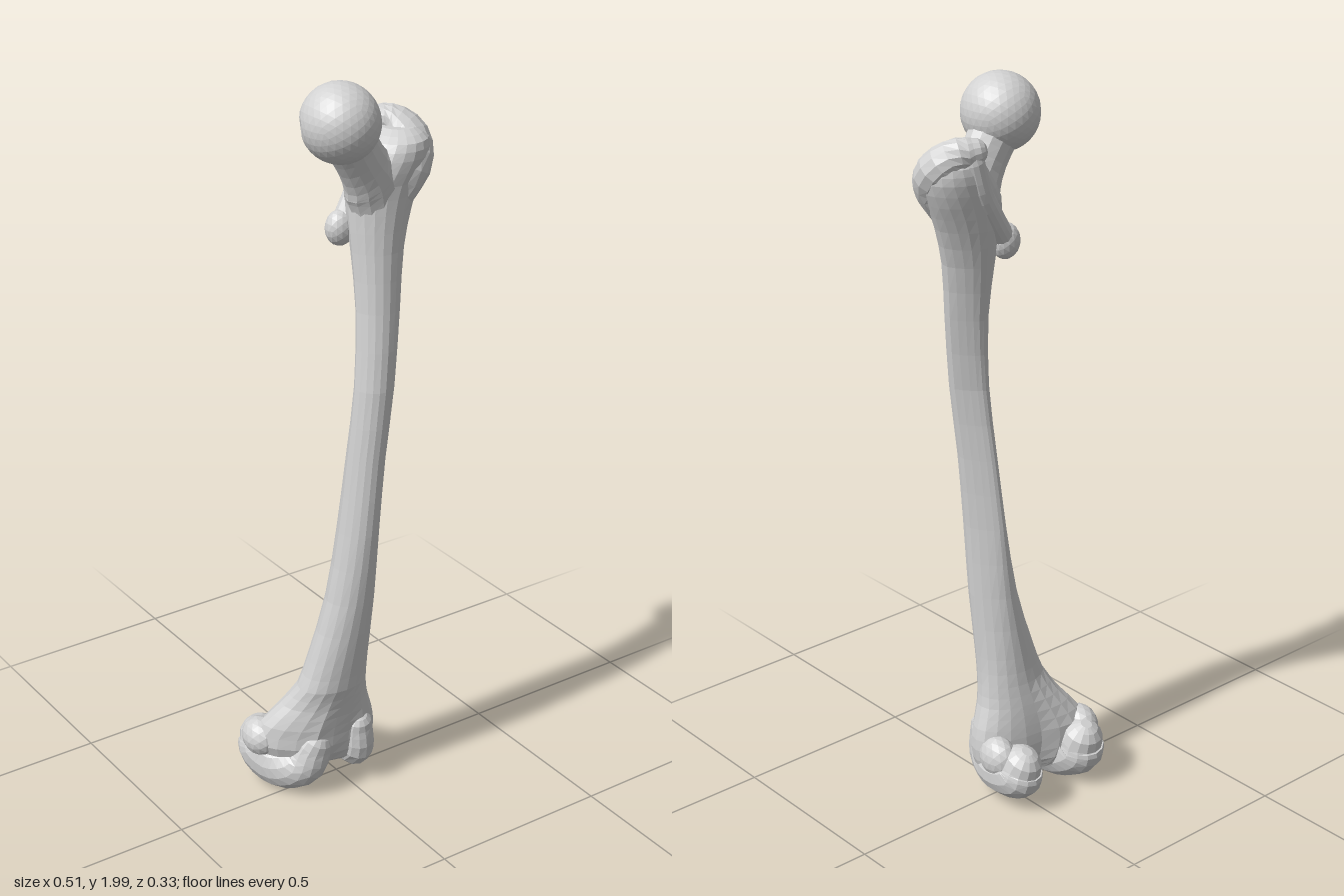
import * as THREE from 'three';
import { mergeVertices } from 'three/addons/utils/BufferGeometryUtils.js';

const bone = new THREE.MeshStandardMaterial({ color: 0xd2d2d2, flatShading: true });
bone.name = 'bone';

// Skin a list of rings (arrays of Vector3) and close both ends with a fan
function skin(rings) {
  const n = rings[0].length, pos = [], idx = [];
  rings.forEach(r => r.forEach(p => pos.push(p.x, p.y, p.z)));
  for (let i = 0; i < rings.length - 1; i++) {
    for (let j = 0; j < n; j++) {
      const k = (j + 1) % n;
      const a = i * n + j, b = i * n + k, c = (i + 1) * n + k, d = (i + 1) * n + j;
      idx.push(a, b, c, a, c, d);
    }
  }
  const middle = r => r.reduce((s, p) => s.add(p), new THREE.Vector3()).divideScalar(n);
  const last = rings.length - 1, m0 = middle(rings[0]), m1 = middle(rings[last]);
  const c0 = pos.length / 3;
  pos.push(m0.x, m0.y, m0.z, m1.x, m1.y, m1.z);
  for (let j = 0; j < n; j++) {
    const k = (j + 1) % n;
    idx.push(c0, k, j, c0 + 1, last * n + j, last * n + k);
  }
  const g = new THREE.BufferGeometry();
  g.setAttribute('position', new THREE.Float32BufferAttribute(pos, 3));
  g.setIndex(idx);
  g.computeVertexNormals();
  return g;
}

// Tapered limb with domed ends; each stop is [x, y, z, radiusU, radiusV]
function limb(stops, side, steps = 10, n = 14) {
  const path = new THREE.CatmullRomCurve3(stops.map(s => new THREE.Vector3(s[0], s[1], s[2])));
  const size = new THREE.CatmullRomCurve3(stops.map((s, i) => new THREE.Vector3(s[3], s[4], i * 0.05)));
  const rings = [];
  const addRing = (t, shift, scale) => {
    const c = path.getPoint(t), dir = path.getTangent(t), r = size.getPoint(t);
    const u = new THREE.Vector3().crossVectors(side, dir).normalize();
    const v = new THREE.Vector3().crossVectors(dir, u);
    c.addScaledVector(dir, shift * Math.min(r.x, r.y));
    rings.push(Array.from({ length: n }, (_, j) => {
      const a = j / n * Math.PI * 2;
      return c.clone().addScaledVector(u, Math.cos(a) * r.x * scale).addScaledVector(v, Math.sin(a) * r.y * scale);
    }));
  };
  const dome = [1.3, 0.95, 0.5];
  dome.forEach(f => addRing(0, -Math.sin(f), Math.cos(f)));
  for (let i = 0; i <= steps; i++) addRing(i / steps, 0, 1);
  dome.slice().reverse().forEach(f => addRing(1, Math.sin(f), Math.cos(f)));
  return skin(rings);
}

// Faceted ellipsoid
function knob(x, y, z, rx, ry, rz, detail = 3) {
  return mergeVertices(new THREE.IcosahedronGeometry(1, detail).deleteAttribute('normal').deleteAttribute('uv'))
    .scale(rx, ry, rz).translate(x, y, z);
}

// Shaft sections: y, right x, left x, back z, front z, pinch of the back ridge
const sections = [
  [0.07, -0.16, 0.06, -0.04, 0.05, 0],
  [0.10, -0.205, 0.09, -0.06, 0.088, 0],
  [0.16, -0.235, 0.10, -0.065, 0.104, 0],
  [0.22, -0.215, 0.09, -0.06, 0.106, 0],
  [0.28, -0.17, 0.07, -0.05, 0.106, 0],
  [0.34, -0.14, 0.062, -0.038, 0.108, 0],
  [0.42, -0.115, 0.06, -0.028, 0.115, 0.1],
  [0.60, -0.07, 0.065, -0.01, 0.13, 0.3],
  [0.80, -0.04, 0.07, 0.0, 0.14, 0.45],
  [1.00, -0.018, 0.085, 0.012, 0.14, 0.5],
  [1.20, 0.002, 0.11, 0.02, 0.14, 0.5],
  [1.40, 0.02, 0.14, 0.0, 0.12, 0.4],
  [1.55, 0.022, 0.165, -0.03, 0.105, 0.25],
  [1.65, 0.02, 0.197, -0.05, 0.10, 0.1],
  [1.72, 0.025, 0.228, -0.06, 0.10, 0],
  [1.78, 0.06, 0.25, -0.065, 0.108, 0],
  [1.82, 0.09, 0.245, -0.06, 0.10, 0],
  [1.845, 0.13, 0.22, -0.035, 0.06, 0],
];

function shaftGeometry(n = 20) {
  const a = new THREE.CatmullRomCurve3(sections.map(s => new THREE.Vector3(s[1], s[0], s[2])));
  const b = new THREE.CatmullRomCurve3(sections.map(s => new THREE.Vector3(s[3], s[0], s[4])));
  const rings = [], count = (sections.length - 1) * 2;
  for (let i = 0; i <= count; i++) {
    const p = a.getPoint(i / count), q = b.getPoint(i / count);
    const pinch = (sections[Math.floor(i / 2)][5] + sections[Math.ceil(i / 2)][5]) / 2;
    const low = THREE.MathUtils.clamp((0.34 - p.y) / 0.15, 0, 1);
    const cx = (p.x + p.z) / 2, hx = (p.z - p.x) / 2, cz = (q.x + q.z) / 2, hz = (q.z - q.x) / 2;
    rings.push(Array.from({ length: n }, (_, j) => {
      const t = j / n * Math.PI * 2, c = Math.cos(t), s = Math.sin(t);
      const x = cx + hx * s * (1 - pinch * Math.max(0, -c));
      let z = cz + hz * c;
      // knee end: inner side swept back, groove between the condyles
      z += low * 0.07 * Math.min(0, s);
      if (c > 0) z -= low * 0.03 * Math.exp(-(((x + 0.045) / 0.04) ** 2));
      return new THREE.Vector3(x, p.y, z);
    }));
  }
  return skin(rings);
}

// Ball of the hip joint with a small pit on its inner side
function headGeometry() {
  const g = knob(0, 0, 0, 1, 1, 1, 5), p = g.attributes.position, v = new THREE.Vector3();
  const pit = new THREE.Vector3(-0.85, -0.1, -0.5).normalize();
  for (let i = 0; i < p.count; i++) {
    v.fromBufferAttribute(p, i);
    v.multiplyScalar(1 - 0.13 * Math.exp(-((v.angleTo(pit) / 0.17) ** 2)));
    p.setXYZ(i, v.x, v.y, v.z);
  }
  return g.scale(0.098, 0.1, 0.103).translate(-0.034, 1.9, 0.067);
}

export function createModel() {
  const group = new THREE.Group();
  group.name = 'thighBone';
  const add = (name, geometry) => {
    geometry.computeVertexNormals();
    const mesh = new THREE.Mesh(geometry, bone);
    mesh.name = name;
    group.add(mesh);
  };
  const X = new THREE.Vector3(1, 0, 0), Z = new THREE.Vector3(0, 0, 1);

  add('shaft', shaftGeometry());

  // Hip end
  add('head', headGeometry());
  add('neck', limb([
    [-0.02, 1.875, 0.062, 0.066, 0.066], [0.04, 1.785, 0.052, 0.066, 0.055],
    [0.085, 1.72, 0.04, 0.085, 0.06], [0.1, 1.64, 0.035, 0.07, 0.055]], Z));
  add('greaterTrochanter', limb([
    [0.145, 1.852, -0.04, 0.035, 0.035], [0.178, 1.845, -0.02, 0.044, 0.045],
    [0.2, 1.81, 0.015, 0.053, 0.06], [0.185, 1.76, 0.05, 0.055, 0.06],
    [0.15, 1.69, 0.045, 0.05, 0.05]], X));
  add('trochanterCrest', limb([
    [0.15, 1.83, -0.042, 0.03, 0.032], [0.125, 1.75, -0.04, 0.03, 0.032],
    [0.075, 1.67, -0.03, 0.03, 0.03], [0.03, 1.61, -0.015, 0.03, 0.03]], Z));
  add('lesserTrochanter', knob(0.022, 1.6, -0.015, 0.04, 0.047, 0.035, 2));

  // Knee end: rollers running from the front lip under and up the back
  add('innerCondyle', limb([
    [-0.105, 0.16, 0.05, 0.045, 0.05], [-0.125, 0.1, 0.03, 0.06, 0.06],
    [-0.16, 0.083, -0.03, 0.072, 0.068], [-0.182, 0.112, -0.09, 0.075, 0.067],
    [-0.182, 0.14, -0.1, 0.06, 0.06]], X, 14));
  add('outerCondyle', limb([
    [0.025, 0.19, 0.065, 0.04, 0.042], [0.03, 0.115, 0.045, 0.06, 0.05],
    [0.045, 0.098, -0.02, 0.062, 0.058], [0.037, 0.115, -0.085, 0.074, 0.062],
    [0.035, 0.14, -0.095, 0.06, 0.055]], X, 14));
  add('innerEpicondyle', knob(-0.205, 0.165, -0.065, 0.048, 0.055, 0.06, 2));
  add('outerEpicondyle', knob(0.065, 0.15, -0.035, 0.045, 0.06, 0.06, 2));

  return group;
}
